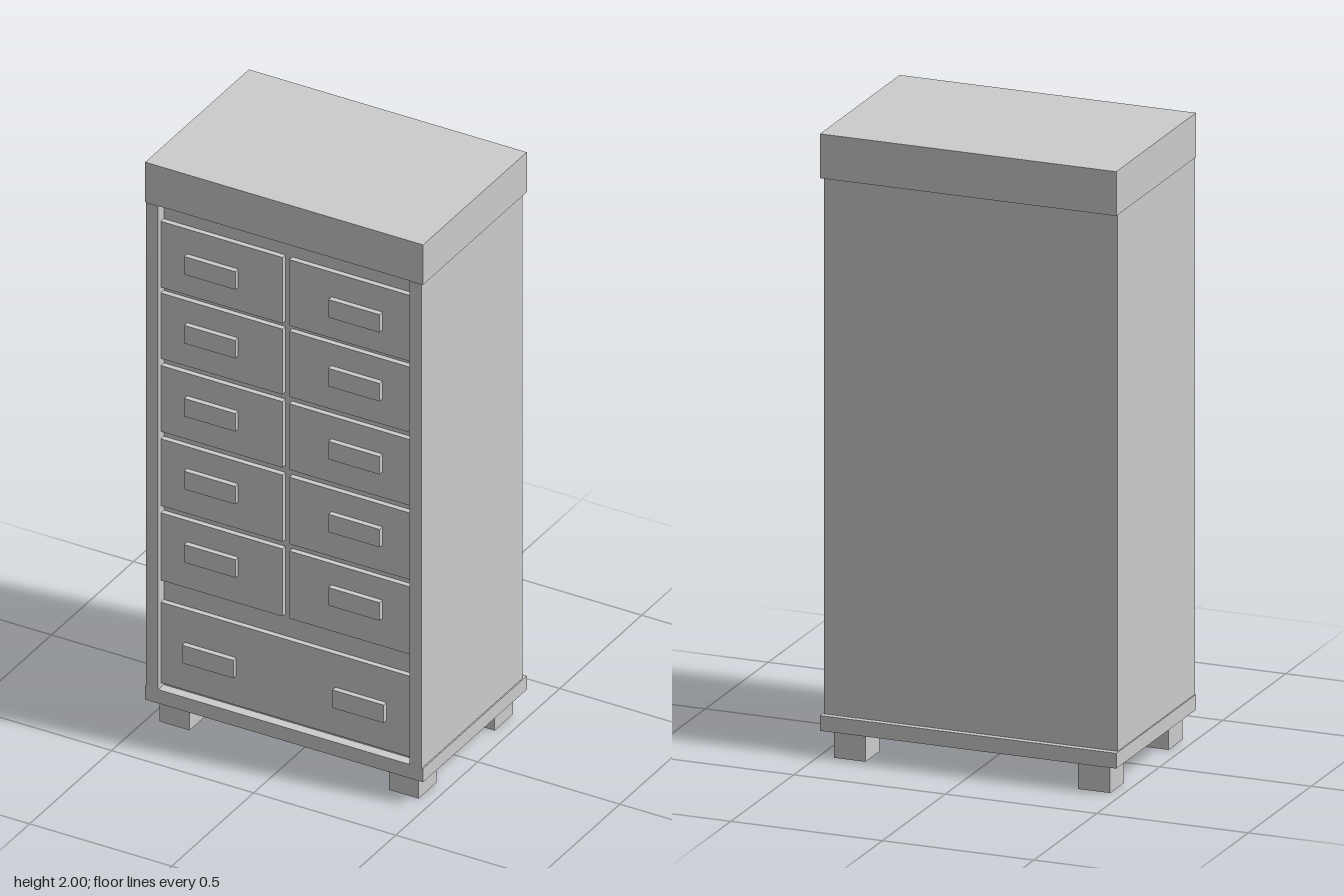
import * as THREE from 'three';

const material = new THREE.MeshStandardMaterial({ color: 0xcccccc, flatShading: true });

// Box given by its limits along each axis
function block(parent, name, [x0, x1], [y0, y1], [z0, z1]) {
  const mesh = new THREE.Mesh(new THREE.BoxGeometry(x1 - x0, y1 - y0, z1 - z0), material);
  mesh.position.set((x0 + x1) / 2, (y0 + y1) / 2, (z0 + z1) / 2);
  mesh.name = name;
  parent.add(mesh);
  return mesh;
}

export function createModel() {
  const cabinet = new THREE.Group();
  cabinet.name = 'drawerCabinet';

  const backZ = -0.298, recessZ = 0.28, drawerZ = 0.298, handleZ = 0.316, frontZ = 0.317;
  const bottomY = 0.137, topY = 1.858;

  // Carcass: overhanging top and base, side panels and recessed core
  block(cabinet, 'top', [-0.489, 0.489], [topY, 2], [-0.318, 0.314]);
  block(cabinet, 'base', [-0.489, 0.489], [0.088, bottomY], [-0.318, 0.314]);
  block(cabinet, 'leftSidePanel', [0.443, 0.485], [bottomY, topY], [backZ, frontZ]);
  block(cabinet, 'rightSidePanel', [-0.485, -0.443], [bottomY, topY], [backZ, frontZ]);
  block(cabinet, 'core', [-0.443, 0.443], [bottomY, topY], [backZ, recessZ]);

  // Drawer front with its raised rectangular handles
  function drawer(name, xs, ys, handleXs, handleY) {
    const group = new THREE.Group();
    group.name = name;
    block(group, 'drawerFront', xs, ys, [recessZ, drawerZ]);
    for (const x of handleXs) {
      block(group, 'handle', [x - 0.09, x + 0.09], [handleY - 0.032, handleY + 0.032], [drawerZ, handleZ]);
    }
    cabinet.add(group);
  }

  // Five rows of paired small drawers: bottom, top, handle height
  const rows = [
    [1.56, 1.795, 1.675],
    [1.307, 1.54, 1.43],
    [1.047, 1.282, 1.17],
    [0.783, 1.021, 0.911],
    [0.518, 0.758, 0.65],
  ];
  for (const [y0, y1, handleY] of rows) {
    drawer('rightSmallDrawer', [-0.443, -0.015], [y0, y1], [-0.261], handleY);
    drawer('leftSmallDrawer', [0.009, 0.443], [y0, y1], [0.247], handleY);
  }

  // Wide bottom drawer
  drawer('wideDrawer', [-0.443, 0.443], [0.153, 0.44], [-0.268, 0.261], 0.29);

  // Square feet
  for (const xs of [[-0.46, -0.354], [0.348, 0.452]]) {
    for (const zs of [[0.167, 0.278], [-0.297, -0.186]]) {
      block(cabinet, 'foot', xs, [0, 0.088], zs);
    }
  }

  return cabinet;
}
